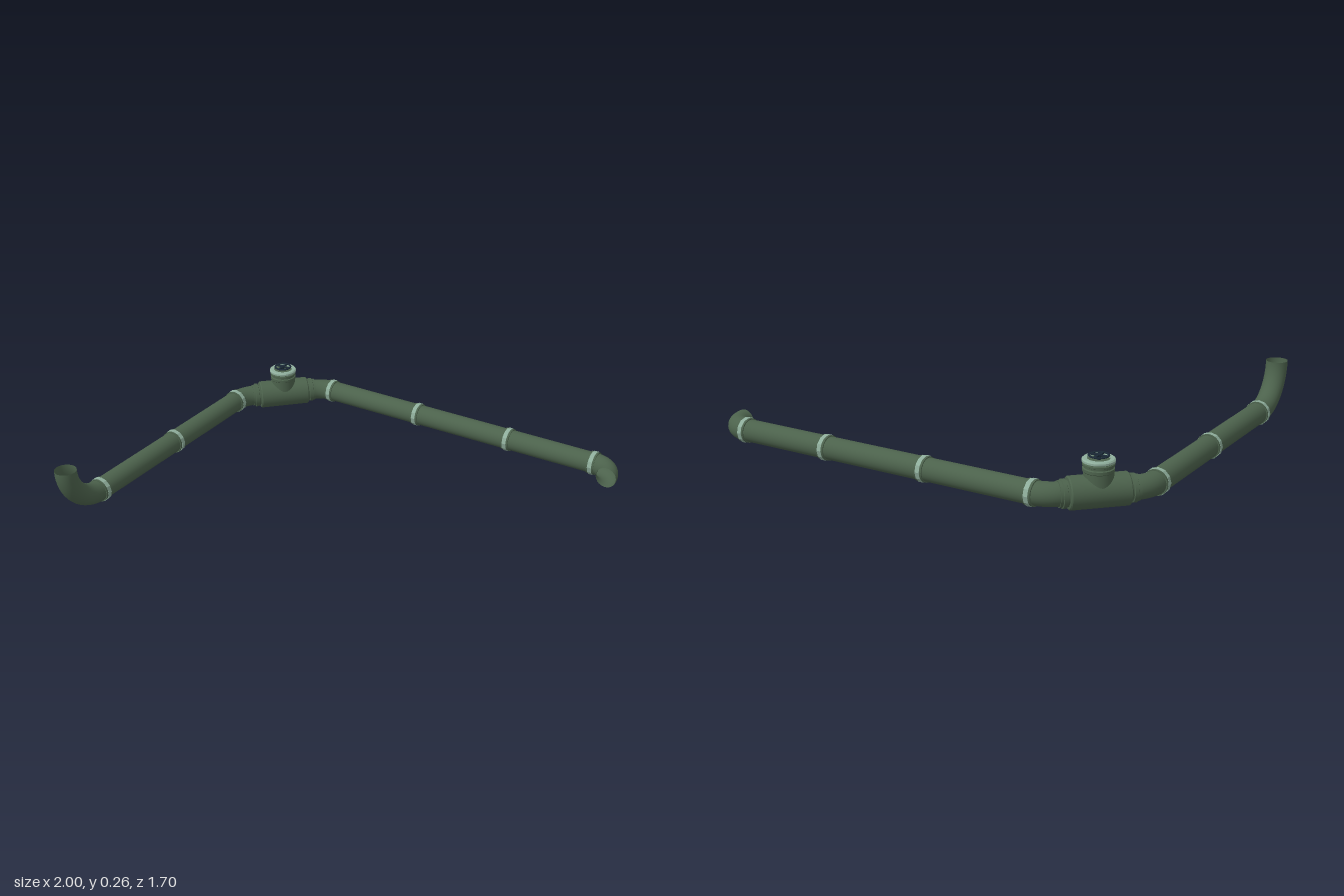
import * as THREE from 'three';

const PIPE_R = 0.049, Y = 0.07;
const LEFT_X = -0.945, BACK_Z = -0.797;
const V = (x, y, z) => new THREE.Vector3(x, y, z);

const green = new THREE.MeshStandardMaterial({ color: 0x4c624c, side: THREE.DoubleSide });
const pale = new THREE.MeshStandardMaterial({ color: 0x8fae9c });
const paleFlat = new THREE.MeshStandardMaterial({ color: 0x8fae9c, flatShading: true });
const dark = new THREE.MeshStandardMaterial({ color: 0x1a2836 });

function add(parent, name, geometry, material) {
  const mesh = new THREE.Mesh(geometry, material);
  mesh.name = name;
  parent.add(mesh);
  return mesh;
}

// Circular bend leaving `start` along dIn and turning towards dOut by `angle`
class Bend extends THREE.Curve {
  constructor(start, dIn, side, radius, angle) {
    super();
    Object.assign(this, { start, dIn, side, radius, angle });
  }
  getPoint(t, target = new THREE.Vector3()) {
    const a = t * this.angle;
    return target.copy(this.start)
      .addScaledVector(this.dIn, this.radius * Math.sin(a))
      .addScaledVector(this.side, this.radius * (1 - Math.cos(a)));
  }
}

function elbow(parent, name, start, dIn, side, radius, angle) {
  const curve = new Bend(start, dIn, side, radius, angle);
  add(parent, name, new THREE.TubeGeometry(curve, 16, PIPE_R, 28), green);
}

function straightPipe(parent, name, a, b) {
  add(parent, name, new THREE.TubeGeometry(new THREE.LineCurve3(a, b), 1, PIPE_R, 28), green);
}

// Coupling: a faceted pale band between two thin green rims, axis along y before turning
function coupling(parent, position, axis) {
  const g = new THREE.Group();
  g.name = 'coupling';
  add(g, 'couplingBand', new THREE.CylinderGeometry(0.056, 0.056, 0.02, 12), paleFlat);
  for (const s of [-1, 1]) {
    const rim = add(g, 'couplingRim', new THREE.CylinderGeometry(0.0535, 0.0535, 0.009, 28), green);
    rim.position.y = s * 0.0145;
  }
  g.position.copy(position);
  g.quaternion.setFromUnitVectors(V(0, 1, 0), axis);
  parent.add(g);
}

function lathe(parent, name, profile, material) {
  const pts = profile.map(([r, y]) => new THREE.Vector2(r, y));
  // Doubled corner points keep the steps crisp
  const crisp = pts.flatMap((p, i) => (i && i < pts.length - 1 ? [p, p.clone()] : [p]));
  return add(parent, name, new THREE.LatheGeometry(crisp, 32), material);
}

function handwheel() {
  const g = new THREE.Group();
  g.name = 'handwheel';
  const rim = add(g, 'wheelRim', new THREE.TorusGeometry(0.038, 0.005, 8, 32), dark);
  rim.rotation.x = Math.PI / 2;
  rim.scale.z = 0.7;
  for (let i = 0; i < 2; i++) {
    const spoke = add(g, 'wheelSpoke', new THREE.BoxGeometry(0.074, 0.006, 0.011), dark);
    spoke.rotation.y = i * Math.PI / 2;
  }
  add(g, 'wheelHub', new THREE.CylinderGeometry(0.012, 0.012, 0.01, 16), dark);
  add(g, 'wheelStem', new THREE.CylinderGeometry(0.009, 0.009, 0.03, 12), dark).position.y = -0.014;
  return g;
}

// Tee-shaped valve, its flow running along local x
function valve() {
  const g = new THREE.Group();
  g.name = 'valve';
  const body = lathe(g, 'valveBody', [
    [0.047, -0.16], [0.053, -0.16], [0.053, -0.149], [0.058, -0.147], [0.058, -0.132],
    [0.053, -0.13], [0.053, -0.124], [0.063, -0.122], [0.067, -0.117],
    [0.067, 0.117], [0.063, 0.122], [0.053, 0.124], [0.053, 0.13],
    [0.058, 0.132], [0.058, 0.147], [0.053, 0.149], [0.053, 0.16], [0.047, 0.16],
  ], green);
  body.rotation.z = -Math.PI / 2;

  lathe(g, 'valveNeck', [
    [0.06, 0], [0.06, 0.08], [0.063, 0.083], [0.063, 0.095], [0.058, 0.098],
    [0.058, 0.104], [0.064, 0.107], [0.064, 0.114], [0.06, 0.117], [0.06, 0.121],
  ], green);
  lathe(g, 'bonnetRing', [
    [0.06, 0.119], [0.066, 0.121], [0.066, 0.129], [0.061, 0.134],
    [0.046, 0.134], [0.044, 0.124],
  ], pale);
  add(g, 'bonnetPlate', new THREE.CylinderGeometry(0.046, 0.046, 0.006, 32), green).position.y = 0.124;

  const wheel = handwheel();
  wheel.position.y = 0.144;
  wheel.rotation.y = Math.PI / 4;
  g.add(wheel);
  return g;
}

export function createModel() {
  const model = new THREE.Group();
  model.name = 'pipeRun';
  const X = V(1, 0, 0), Z = V(0, 0, 1), UP = V(0, 1, 0);
  const T = 0.06, R45 = T / Math.tan(Math.PI / 8);

  // Straight runs
  straightPipe(model, 'leftPipe', V(LEFT_X, Y, 0.603), V(LEFT_X, Y, -0.44));
  straightPipe(model, 'backPipe', V(-0.588, Y, BACK_Z), V(0.845, Y, BACK_Z));

  // Open end bends: one turns up, the other turns to the front
  elbow(model, 'upturnedEnd', V(LEFT_X, Y, 0.603), Z, UP, 0.197, Math.PI / 2);
  elbow(model, 'frontTurnedEnd', V(0.845, Y, BACK_Z), X, Z, 0.1, Math.PI / 2);

  // Half bends either side of the diagonal valve
  elbow(model, 'leftHalfBend', V(LEFT_X, Y, -0.44), V(0, 0, -1), X, R45, Math.PI / 4);
  elbow(model, 'backHalfBend', V(-0.588, Y, BACK_Z), V(-1, 0, 0), Z, R45, Math.PI / 4);

  const tee = valve();
  tee.position.set(-0.7965, Y, -0.6485);
  tee.rotation.y = Math.PI / 4;
  model.add(tee);

  // Couplings
  for (const z of [0.595, 0.06, -0.44]) coupling(model, V(LEFT_X, Y, z), Z);
  for (const x of [-0.592, -0.092, 0.405, 0.843]) coupling(model, V(x, Y, BACK_Z), X);

  return model;
}
